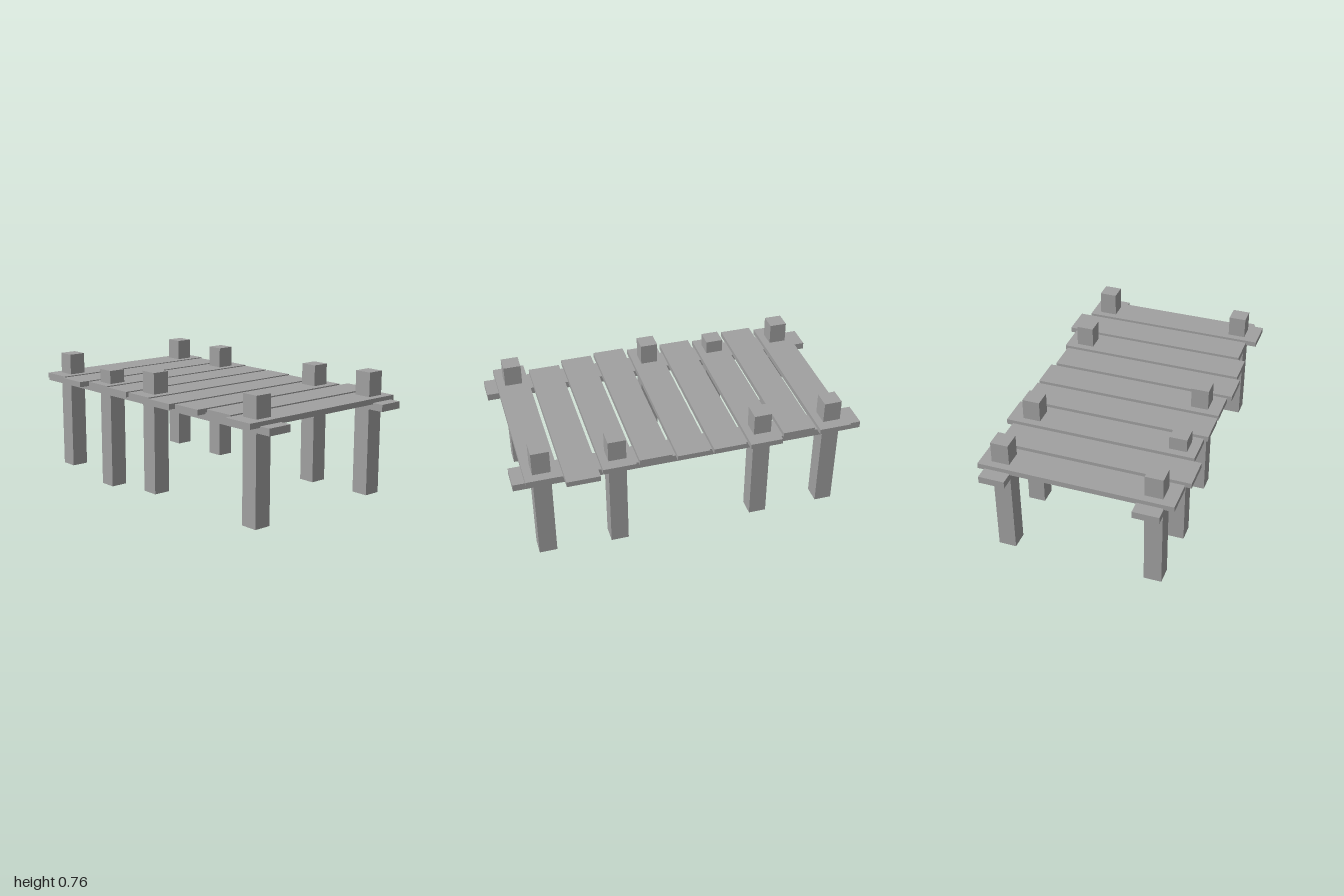
import * as THREE from 'three';

export function createModel() {
  const dock = new THREE.Group();
  dock.name = 'dock';
  const wood = new THREE.MeshStandardMaterial({ color: 0xa0a0a0 });
  wood.name = 'greyWood';

  const addBox = (name, size, position) => {
    const mesh = new THREE.Mesh(new THREE.BoxGeometry(...size), wood);
    mesh.name = name;
    mesh.position.set(...position);
    dock.add(mesh);
  };

  // Two long beams under the deck
  addBox('frontBeam', [2, 0.04, 0.148], [0, 0.584, 0.425]);
  addBox('backBeam', [2, 0.04, 0.148], [0, 0.584, -0.43]);

  // Deck planks, each slid a little along z
  const plankShifts = [0.006, 0.035, -0.012, 0.006, 0.006, 0.029, 0.006, -0.04, 0.018];
  plankShifts.forEach((z, i) => {
    addBox('plank', [0.186, 0.031, 1.097], [-0.832 + i * 0.209, 0.612, z]);
  });

  // Square posts through the deck: [x, z, bottom]
  const posts = [
    [-0.832, 0.431, 0.045], [-0.415, 0.431, 0], [0.002, 0.431, 0.045], [0.837, 0.431, 0.045],
    [-0.832, -0.427, 0.045], [-0.415, -0.427, 0.045], [0.42, -0.427, 0.045], [0.837, -0.427, 0.06],
  ];
  for (const [x, z, bottom] of posts) {
    addBox(z > 0 ? 'frontPost' : 'backPost', [0.101, 0.705, 0.101], [x, bottom + 0.3525, z]);
  }
  return dock;
}
